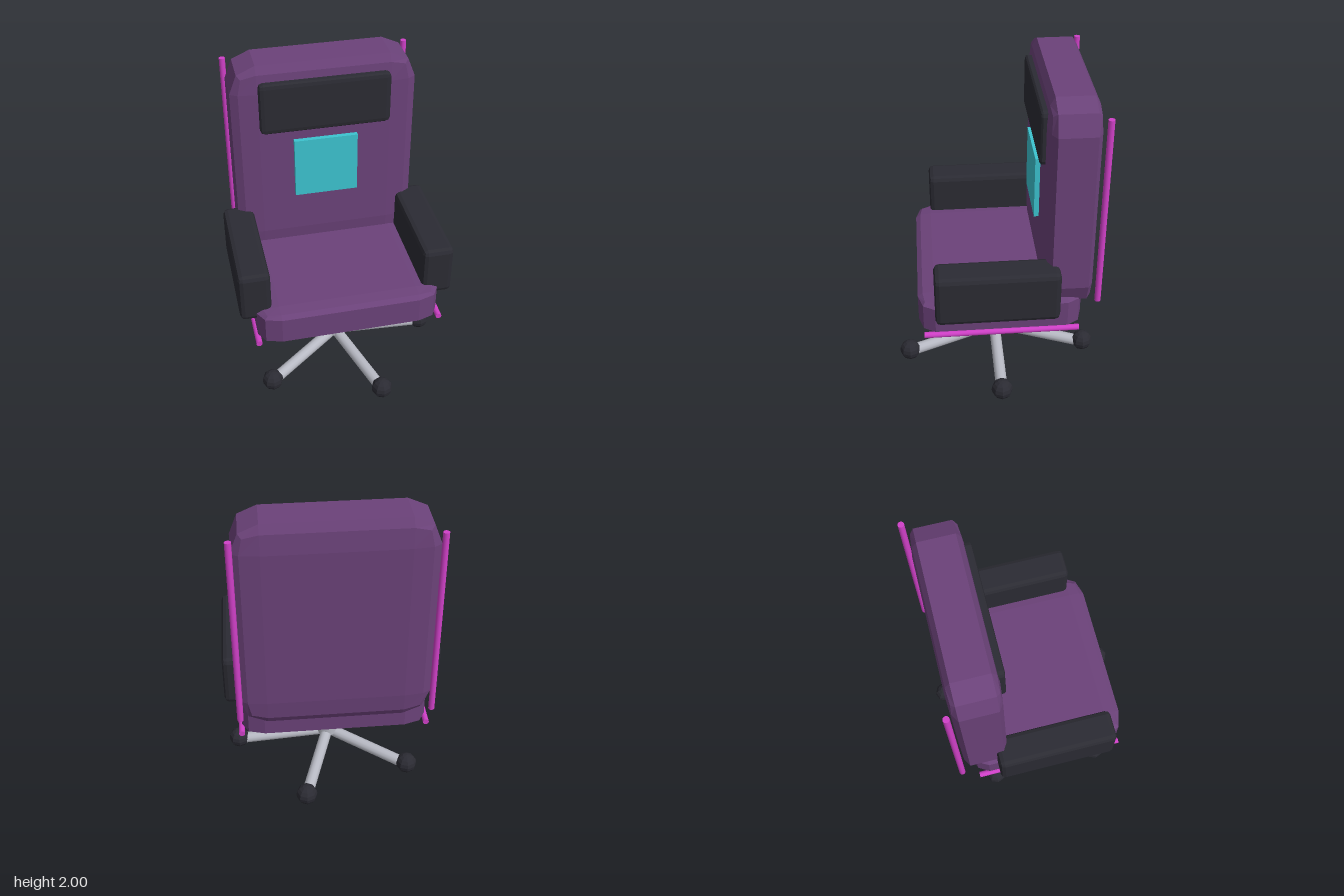
import * as THREE from 'three';

const material = (name, color, flatShading = false) => {
  const m = new THREE.MeshStandardMaterial({ color, flatShading });
  m.name = name;
  return m;
};

// Box with chamfer-like rounded edges; radius is given per axis
function cushion(size, radius) {
  const g = new THREE.BoxGeometry(1, 1, 1, 3, 3, 3);
  const p = g.attributes.position;
  const dir = new THREE.Vector3();
  for (let i = 0; i < p.count; i++) {
    const c = [p.getX(i), p.getY(i), p.getZ(i)];
    dir.set(...c.map(v => (Math.abs(v) > 0.4 ? Math.sign(v) : 0))).normalize();
    const d = dir.toArray();
    p.setXYZ(i, ...c.map((v, k) => Math.sign(v) * (size[k] / 2 - radius[k]) + d[k] * radius[k]));
  }
  g.computeVertexNormals();
  return g;
}

// Cylinder between two points
function rod(a, b, radius, sides) {
  const from = new THREE.Vector3(...a), to = new THREE.Vector3(...b);
  const axis = to.clone().sub(from);
  const g = new THREE.CylinderGeometry(radius, radius, axis.length(), sides);
  const q = new THREE.Quaternion().setFromUnitVectors(new THREE.Vector3(0, 1, 0), axis.normalize());
  const mid = from.add(to).multiplyScalar(0.5);
  return g.applyQuaternion(q).translate(mid.x, mid.y, mid.z);
}

export function createModel() {
  const model = new THREE.Group();
  model.name = 'swivelChair';

  const purple = material('purple upholstery', 0x6b4279, true);
  const dark = material('dark padding', 0x2b2b33, true);
  const metal = material('light metal', 0xb8bac4);
  const magenta = material('magenta trim', 0xd040c8);
  const cyan = material('cyan panel', 0x3cc4d0);

  const add = (name, geometry, mat, x = 0, y = 0, z = 0, parent = model) => {
    const mesh = new THREE.Mesh(geometry, mat);
    mesh.name = name;
    mesh.position.set(x, y, z);
    parent.add(mesh);
    return mesh;
  };

  // Seat and backrest
  add('seat', cushion([1.14, 0.23, 1.0], [0.14, 0.03, 0.1]), purple, 0, 0.625, 0);
  add('backrest', cushion([1.14, 1.35, 0.3], [0.16, 0.17, 0.04]), purple, 0, 1.325, -0.405);

  // Headrest and back panel
  add('headrest', cushion([0.81, 0.335, 0.1], [0.03, 0.03, 0.015]), dark, 0, 1.735, -0.27);
  add('backPanel', new THREE.BoxGeometry(0.4, 0.4, 0.04), cyan, 0, 1.298, -0.245);

  // Armrests and trim rods, mirrored
  for (const [side, s] of [['left', 1], ['right', -1]]) {
    add(side + 'Armrest', cushion([0.195, 0.33, 0.74], [0.03, 0.03, 0.03]), dark, s * 0.57, 0.825, 0.03);
    add(side + 'BackTrim', rod([s * 0.572, 0.725, -0.573], [s * 0.572, 1.935, -0.573], 0.019, 12), magenta);
    add(side + 'SeatTrim', rod([s * 0.572, 0.522, -0.47], [s * 0.572, 0.522, 0.47], 0.019, 12), magenta);
  }

  // Central post
  add('post', rod([0, 0.1, 0], [0, 0.49, 0], 0.076, 20), metal);

  // Five-legged base with ball casters
  const base = new THREE.Group();
  base.name = 'base';
  model.add(base);
  for (let i = 0; i < 5; i++) {
    const a = (i / 5) * Math.PI * 2;
    const x = 0.605 * Math.cos(a), z = 0.605 * Math.sin(a);
    add('leg' + (i + 1), rod([0, 0.1, 0], [x, 0.06, z], 0.037, 12), metal, 0, 0, 0, base);
    add('caster' + (i + 1), new THREE.SphereGeometry(0.067, 8, 8), dark, x, 0.072, z, base);
  }

  return model;
}
